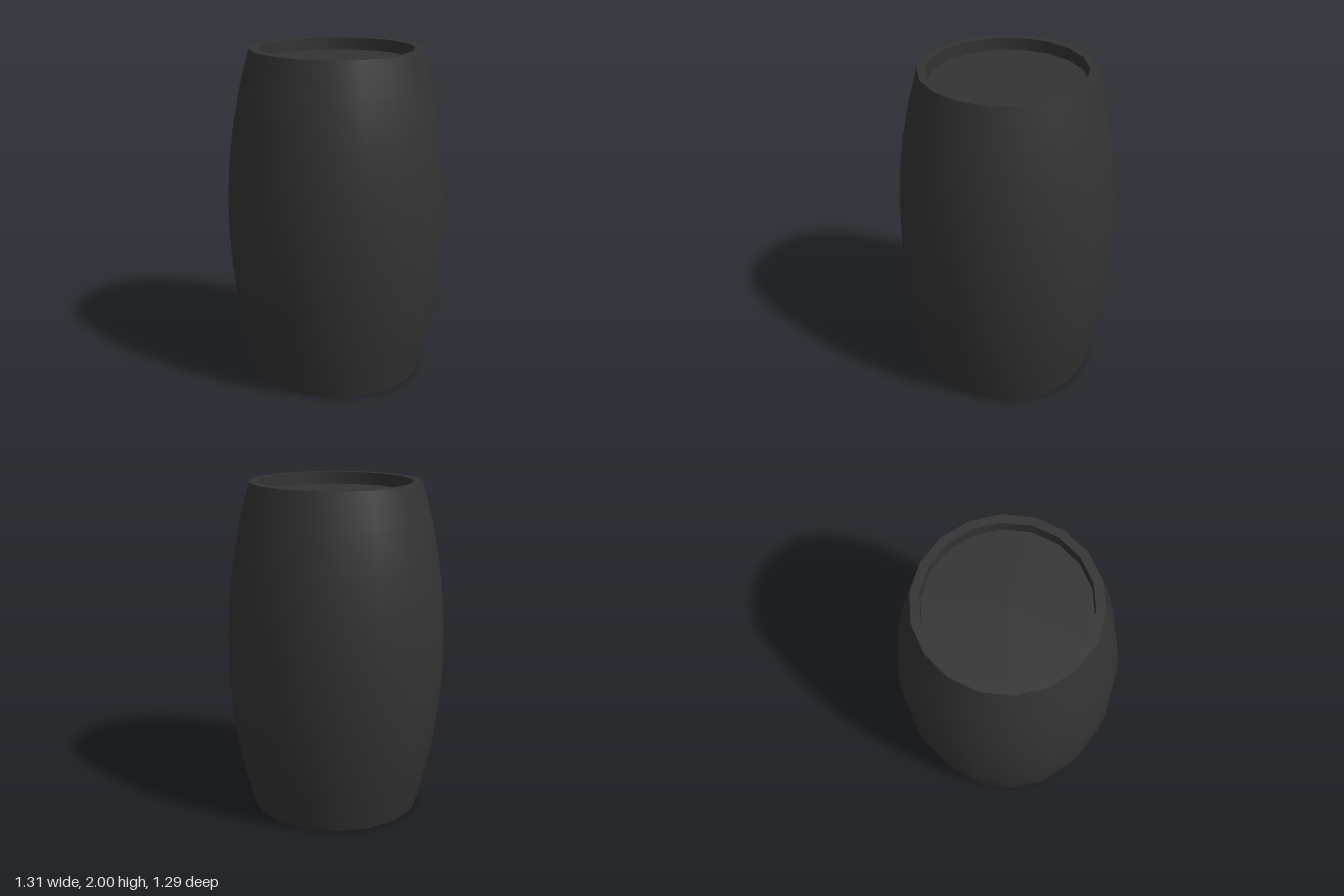
import * as THREE from 'three';

const SIDES = 18;
const BELLY = 0.658;   // radius at mid height
const END = 0.512;     // radius at both ends
const INNER = 0.46;    // inner radius of the rims
const RECESS = 0.075;  // depth of the heads below the rims
const BANDS = 9;

export function createModel() {
  const barrel = new THREE.Group();
  barrel.name = 'barrel';
  const material = new THREE.MeshStandardMaterial({ color: 0x333333 });

  const add = (name, geometry, parent) => {
    const mesh = new THREE.Mesh(geometry, material);
    mesh.name = name;
    parent.add(mesh);
    return mesh;
  };
  // Lathe with a corner on the x axis
  const lathe = (points) => new THREE.LatheGeometry(
    points.map(([r, y]) => new THREE.Vector2(r, y)), SIDES, Math.PI / 2);

  // Bulging outer wall: a circular arc in profile
  const bulge = BELLY - END;
  const arcRadius = (1 + bulge * bulge) / (2 * bulge);
  const profile = [];
  for (let i = 0; i <= BANDS; i++) {
    const h = (2 * i) / BANDS - 1;
    profile.push([BELLY - arcRadius + Math.sqrt(arcRadius ** 2 - h * h), h + 1]);
  }
  add('outerWall', lathe(profile), barrel);

  // Each end: flat rim, short inner wall and sunken head
  for (const [prefix, top] of [['top', true], ['bottom', false]]) {
    const end = new THREE.Group();
    end.name = prefix + 'End';
    add(prefix + 'Rim', new THREE.RingGeometry(INNER, END, SIDES).rotateX(-Math.PI / 2), end);
    add(prefix + 'InnerWall', lathe([[INNER, 0], [INNER, -RECESS]]), end);
    add(prefix + 'Head', new THREE.CircleGeometry(INNER, SIDES).rotateX(-Math.PI / 2), end)
      .position.y = -RECESS;
    if (top) end.position.y = 2;
    else end.rotation.x = Math.PI;
    barrel.add(end);
  }
  return barrel;
}
